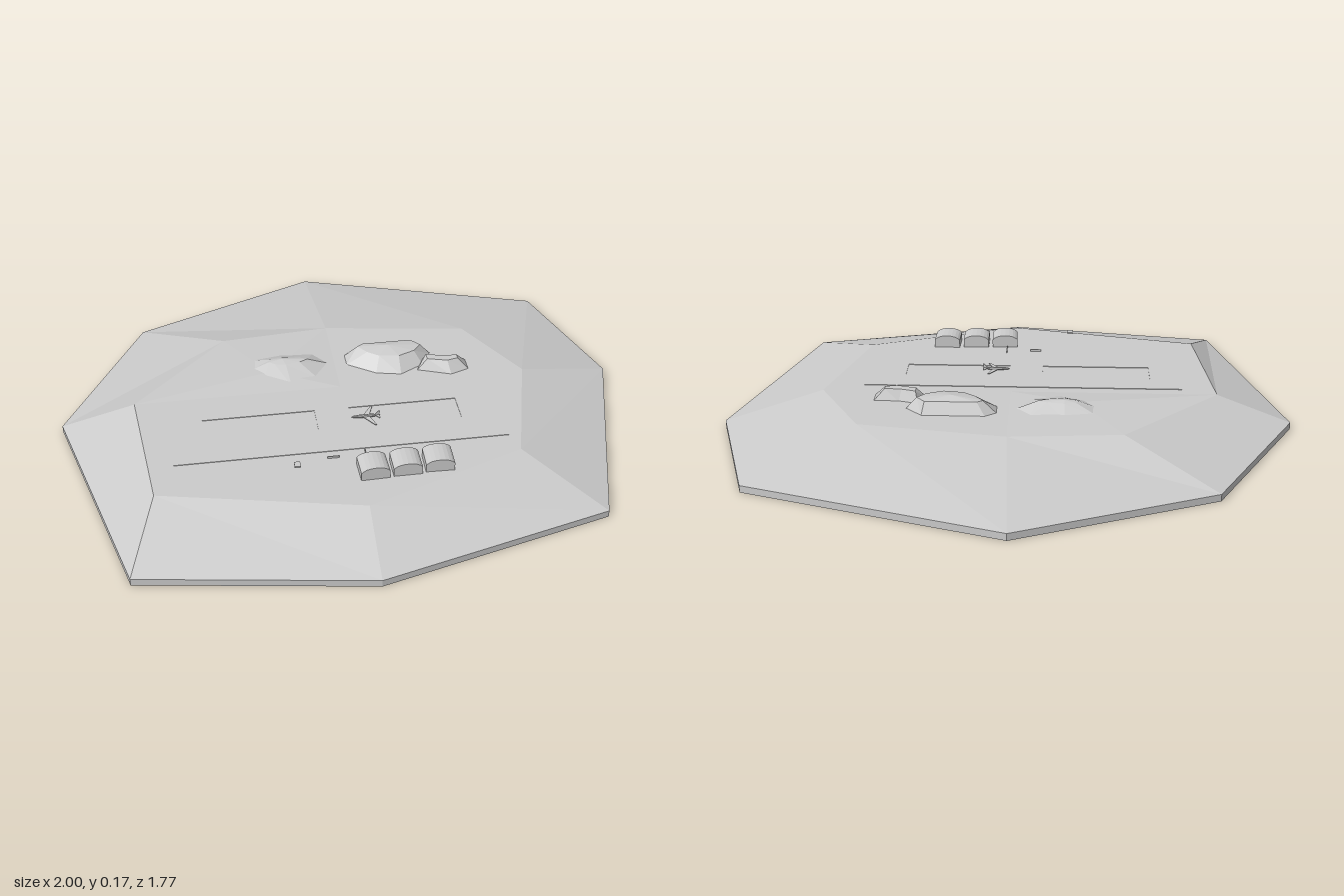
import * as THREE from 'three';

const TOP = 0.115;
const material = new THREE.MeshStandardMaterial({ color: 0xcccccc, flatShading: true, side: THREE.DoubleSide });

function add(parent, name, geometry, x = 0, y = 0, z = 0) {
  const mesh = new THREE.Mesh(geometry, material);
  mesh.name = name;
  mesh.position.set(x, y, z);
  parent.add(mesh);
  return mesh;
}

const box = (w, h, d) => new THREE.BoxGeometry(w, h, d);

// Outline of [x, z] pairs (back, +x, front, -x) placed at a height
const ring = (outline, y) => outline.map(([x, z]) => new THREE.Vector3(x, y, z));

// Faceted solid through rings of equal length, closed at both ends
function loft(rings, apex) {
  const tris = [];
  const n = rings[0].length;
  const centre = (r) => r.reduce((s, p) => s.add(p), new THREE.Vector3()).divideScalar(n);
  const first = rings[0], last = rings[rings.length - 1];
  const bottom = centre(first), top = apex || centre(last);
  for (let i = 0; i < n; i++) {
    const j = (i + 1) % n;
    for (let k = 0; k + 1 < rings.length; k++) {
      const a = rings[k], b = rings[k + 1];
      tris.push(a[i], b[i], b[j], a[i], b[j], a[j]);
    }
    tris.push(bottom, first[i], first[j], top, last[j], last[i]);
  }
  const geometry = new THREE.BufferGeometry().setFromPoints(tris);
  geometry.computeVertexNormals();
  return geometry;
}

function rectangle(Kind, x0, x1, z0, z1) {
  const p = new Kind();
  p.moveTo(x0, -z0).lineTo(x1, -z0).lineTo(x1, -z1).lineTo(x0, -z1).closePath();
  return p;
}

// Flat plate extruded upward from a plan shape
const plate = (shape, depth) =>
  new THREE.ExtrudeGeometry(shape, { depth, bevelEnabled: false }).rotateX(-Math.PI / 2);

function hangar() {
  const s = new THREE.Shape();
  s.moveTo(-0.048, 0).lineTo(0.048, 0).lineTo(0.048, 0.03);
  s.quadraticCurveTo(0.035, 0.047, 0, 0.047);
  s.quadraticCurveTo(-0.035, 0.047, -0.048, 0.03);
  s.closePath();
  return new THREE.ExtrudeGeometry(s, { depth: 0.088, bevelEnabled: false, curveSegments: 4 }).translate(0, 0, -0.044);
}

function aircraft() {
  const plane = new THREE.Group();
  plane.name = 'aircraft';
  // Nose points toward -x
  const body = new THREE.LatheGeometry(
    [[0, -0.05], [0.004, -0.042], [0.006, -0.02], [0.006, 0.02], [0.002, 0.05], [0, 0.05]].map(([r, y]) => new THREE.Vector2(r, y)), 8);
  add(plane, 'fuselage', body.rotateZ(-Math.PI / 2));
  for (const side of [-1, 1]) {
    const wing = new THREE.Shape([[-0.012, 0], [0.025, 0.053], [0.032, 0.053], [0.012, 0]].map(([x, z]) => new THREE.Vector2(x, z * side)));
    add(plane, 'wing', plate(wing, 0.002), 0, -0.002, 0);
    const tail = new THREE.Shape([[0.032, 0], [0.045, 0.018], [0.05, 0.018], [0.047, 0]].map(([x, z]) => new THREE.Vector2(x, z * side)));
    add(plane, 'tailplane', plate(tail, 0.002));
  }
  const fin = new THREE.Shape([[0.03, 0], [0.045, 0.017], [0.05, 0.017], [0.047, 0]].map(([x, y]) => new THREE.Vector2(x, y)));
  add(plane, 'tailFin', new THREE.ExtrudeGeometry(fin, { depth: 0.002, bevelEnabled: false }), 0, 0, -0.001);
  plane.position.set(0.05, 0.124, 0.175);
  return plane;
}

export function createModel() {
  const model = new THREE.Group();
  model.name = 'islandAirfield';

  // Eight-sided plateau with a low vertical rim
  const outer = [[-0.03, -0.89], [0.84, -0.61], [1, -0.11], [0.78, 0.67], [-0.01, 0.88], [-0.78, 0.76], [-1, -0.05], [-0.7, -0.61]];
  const inner = [[-0.01, -0.4], [0.5, -0.32], [0.66, -0.03], [0.54, 0.42], [-0.01, 0.63], [-0.69, 0.48], [-0.74, -0.02], [-0.4, -0.37]];
  add(model, 'island', loft([ring(outer, 0), ring(outer, 0.025), ring(inner, TOP)]));

  // Gentle rise across the back right quarter
  const rise = [[-0.4, -0.37], [-0.01, -0.4], [-0.01, -0.02], [-0.74, -0.02]];
  add(model, 'rise', loft([ring(rise, TOP - 0.002), ring(rise, TOP)], new THREE.Vector3(-0.25, 0.127, -0.13)));

  // Mound with a crest
  const moundBase = [[-0.2, -0.25], [-0.08, -0.24], [-0.03, -0.17], [-0.08, -0.08], [-0.18, -0.05], [-0.28, -0.09], [-0.33, -0.16], [-0.32, -0.23]];
  const moundTop = [[-0.2, -0.19], [-0.14, -0.18], [-0.11, -0.165], [-0.14, -0.15], [-0.19, -0.14], [-0.23, -0.15], [-0.25, -0.165], [-0.24, -0.18]];
  add(model, 'mound', loft([ring(moundBase, 0.114), ring(moundTop, 0.145)], new THREE.Vector3(-0.2, 0.151, -0.17)));

  // Rocky hill, steep at the back, with a smaller outcrop beside it
  const hillBase = [[0.07, -0.24], [0.29, -0.24], [0.35, -0.18], [0.31, -0.11], [0.22, -0.06], [0.13, -0.08], [0.03, -0.15], [0.03, -0.21]];
  const hillTop = [[0.1, -0.215], [0.28, -0.215], [0.31, -0.18], [0.28, -0.145], [0.22, -0.12], [0.15, -0.13], [0.11, -0.16], [0.08, -0.2]];
  add(model, 'rockyHill', loft([ring(hillBase, 0.112), ring(hillTop, 0.157)], new THREE.Vector3(0.19, 0.168, -0.18)));
  const cropBase = [[0.31, -0.14], [0.38, -0.12], [0.47, -0.12], [0.47, -0.06], [0.4, -0.035], [0.28, -0.08]];
  const cropTop = [[0.32, -0.12], [0.37, -0.105], [0.43, -0.1], [0.43, -0.08], [0.39, -0.07], [0.32, -0.09]];
  add(model, 'outcrop', loft([ring(cropBase, 0.112), ring(cropTop, 0.154)]));

  // Runway and taxiways around two open rectangles
  const runway = rectangle(THREE.Shape, -0.62, 0.52, 0.02, 0.34);
  for (const [x0, x1] of [[-0.51, -0.12], [0, 0.38]]) {
    runway.holes.push(rectangle(THREE.Path, x0, x1, 0.11, 0.22));
  }
  add(model, 'runway', plate(runway, 0.002), 0, TOP, 0);

  model.add(aircraft());

  // Row of arched hangars
  [0.03, 0.14, 0.25].forEach((x, i) => {
    add(model, 'hangar', hangar(), x, TOP - 0.001, 0.46 - i * 0.005).rotation.y = (1 - i) * 0.03;
  });

  // Small field equipment
  add(model, 'barrier', box(0.003, 0.008, 0.055), 0.02, 0.119, 0.38);
  add(model, 'barrier', box(0.04, 0.008, 0.003), -0.09, 0.119, 0.375);
  add(model, 'beacon', box(0.02, 0.006, 0.025), -0.22, 0.166, 0.455);

  return model;
}
